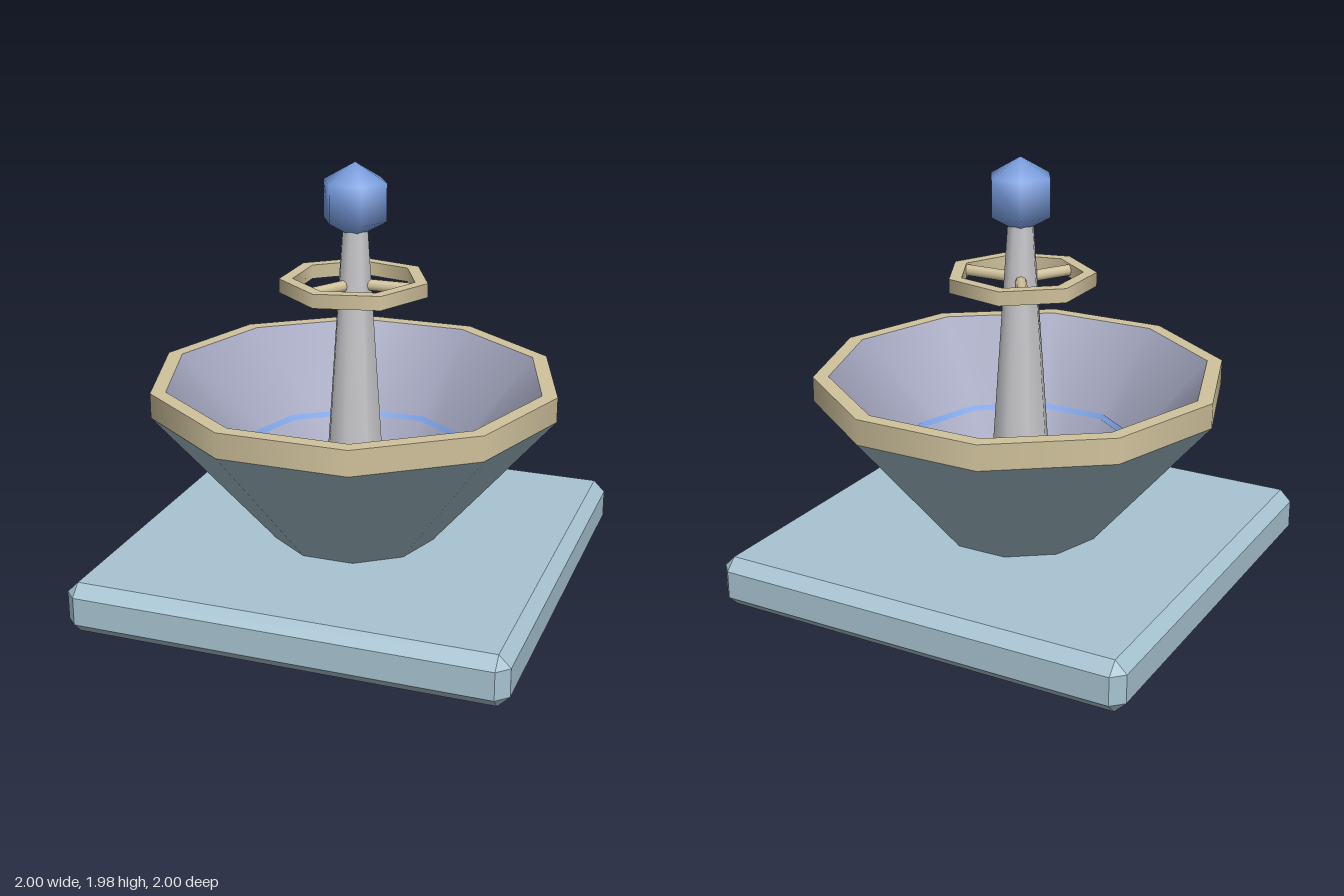
import * as THREE from 'three';
import { ConvexGeometry } from 'three/addons/geometries/ConvexGeometry.js';

const paint = (name, color) => {
  const m = new THREE.MeshStandardMaterial({ color });
  m.name = name;
  return m;
};

export function createModel() {
  const model = new THREE.Group();
  const stone = paint('pale blue stone', 0xa8c4d2);
  const lining = paint('lavender grey lining', 0xa0a3bb);
  const sand = paint('sand trim', 0xd1c39d);
  const grey = paint('light grey', 0xc8c8cc);
  const blue = paint('blue', 0x7a9fe2);

  const add = (name, geometry, material, parent = model) => {
    const mesh = new THREE.Mesh(geometry, material);
    mesh.name = name;
    parent.add(mesh);
    return mesh;
  };

  // Each profile segment is its own smooth band, so profile corners stay sharp
  const bands = (name, profile, sides, material, parent) => {
    for (let i = 0; i < profile.length - 1; i++) {
      const pts = [profile[i], profile[i + 1]].map(([r, y]) => new THREE.Vector2(r, y));
      add(name, new THREE.LatheGeometry(pts, sides, Math.PI / 2), material, parent);
    }
  };

  // Square base with every edge chamfered
  const corners = [];
  const half = [1, 0.1175, 1], c = 0.053;
  for (const x of [-1, 1]) for (const y of [-1, 1]) for (const z of [-1, 1]) {
    for (let axis = 0; axis < 3; axis++) {
      const [a, b, d] = half.map((h, i) => (i === axis ? h : h - c));
      corners.push(new THREE.Vector3(x * a, y * b, z * d));
    }
  }
  add('base', new ConvexGeometry(corners), stone).position.y = half[1];

  // Ten-sided bowl: outer wall, rim, inner wall and floor
  const bowl = new THREE.Group();
  bowl.name = 'bowl';
  model.add(bowl);
  bands('bowlOuterWall', [[0.385, 0.235], [0.94, 0.885]], 10, stone, bowl);
  bands('bowlRim', [[0.94, 0.885], [0.94, 1], [0.87, 1]], 10, sand, bowl);
  bands('bowlLining', [[0.87, 1], [0.345, 0.39], [0, 0.39]], 10, lining, bowl);
  // Thin waterline just proud of the inner wall
  bands('waterline', [[0.548, 0.633], [0.53, 0.612]], 10, blue, bowl);

  // Tapered column rising from the bowl floor
  add('column', new THREE.CylinderGeometry(0.058, 0.15, 1.32, 8), grey).position.y = 1.05;

  // Seven-sided ring held by three spokes
  const wheel = new THREE.Group();
  wheel.name = 'upperRing';
  wheel.position.y = 1.428;
  model.add(wheel);
  const h = 0.032;
  bands('ring', [[0.28, -h], [0.34, -h], [0.34, h], [0.28, h], [0.28, -h]], 7, sand, wheel);
  for (let i = 0; i < 3; i++) {
    const arm = new THREE.Group();
    arm.name = 'spokeArm';
    arm.rotation.y = (i * Math.PI * 2) / 3;
    wheel.add(arm);
    const spoke = add('spoke', new THREE.CylinderGeometry(0.027, 0.027, 0.24, 8), sand, arm);
    spoke.rotation.z = Math.PI / 2;
    spoke.position.x = 0.155;
  }

  // Faceted ball finial
  add('finial', new THREE.SphereGeometry(0.171, 6, 3), blue).position.y = 1.807;

  return model;
}
